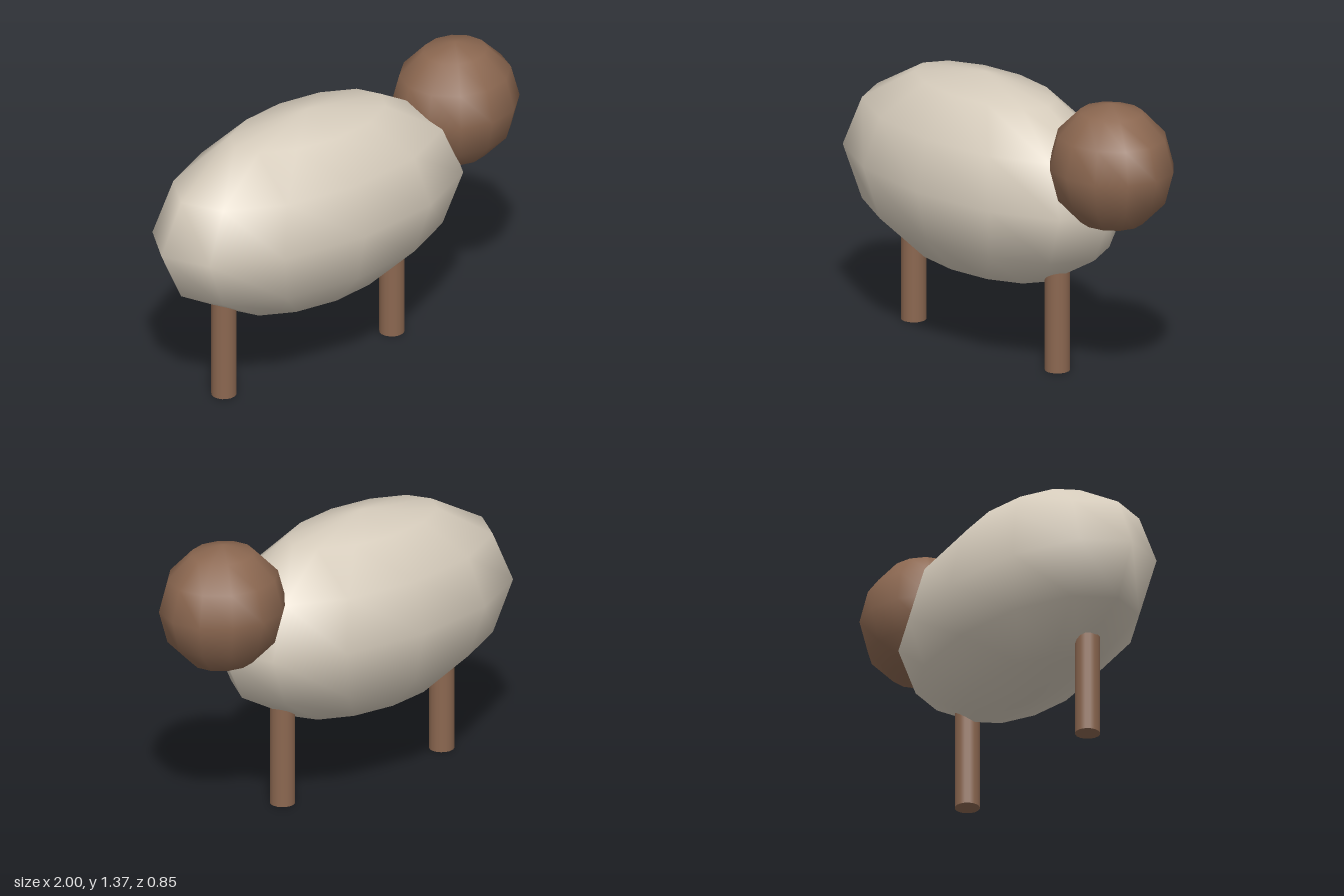
import * as THREE from 'three';

export function createModel() {
  const model = new THREE.Group();
  const wool = new THREE.MeshStandardMaterial({ color: 0xd6ccbc });
  wool.name = 'wool';
  const brown = new THREE.MeshStandardMaterial({ color: 0x8b6750 });
  brown.name = 'brown';

  function add(name, geometry, material, x, y, z) {
    const mesh = new THREE.Mesh(geometry, material);
    mesh.name = name;
    mesh.position.set(x, y, z);
    model.add(mesh);
  }

  // Low-sided ellipsoid with smooth normals
  const ellipsoid = (rx, ry, rz) => new THREE.SphereGeometry(1, 12, 6).scale(rx, ry, rz);

  // Woolly body and round head
  add('body', ellipsoid(0.845, 0.484, 0.423), wool, -0.155, 0.826, 0);
  add('head', ellipsoid(0.305, 0.302, 0.278), brown, 0.695, 1.069, 0);

  // Two legs on the centre line, ending inside the body
  const leg = new THREE.CylinderGeometry(0.058, 0.058, 0.55, 16);
  add('rearLeg', leg, brown, -0.64, 0.275, 0);
  add('frontLeg', leg, brown, 0.33, 0.275, 0);

  return model;
}
